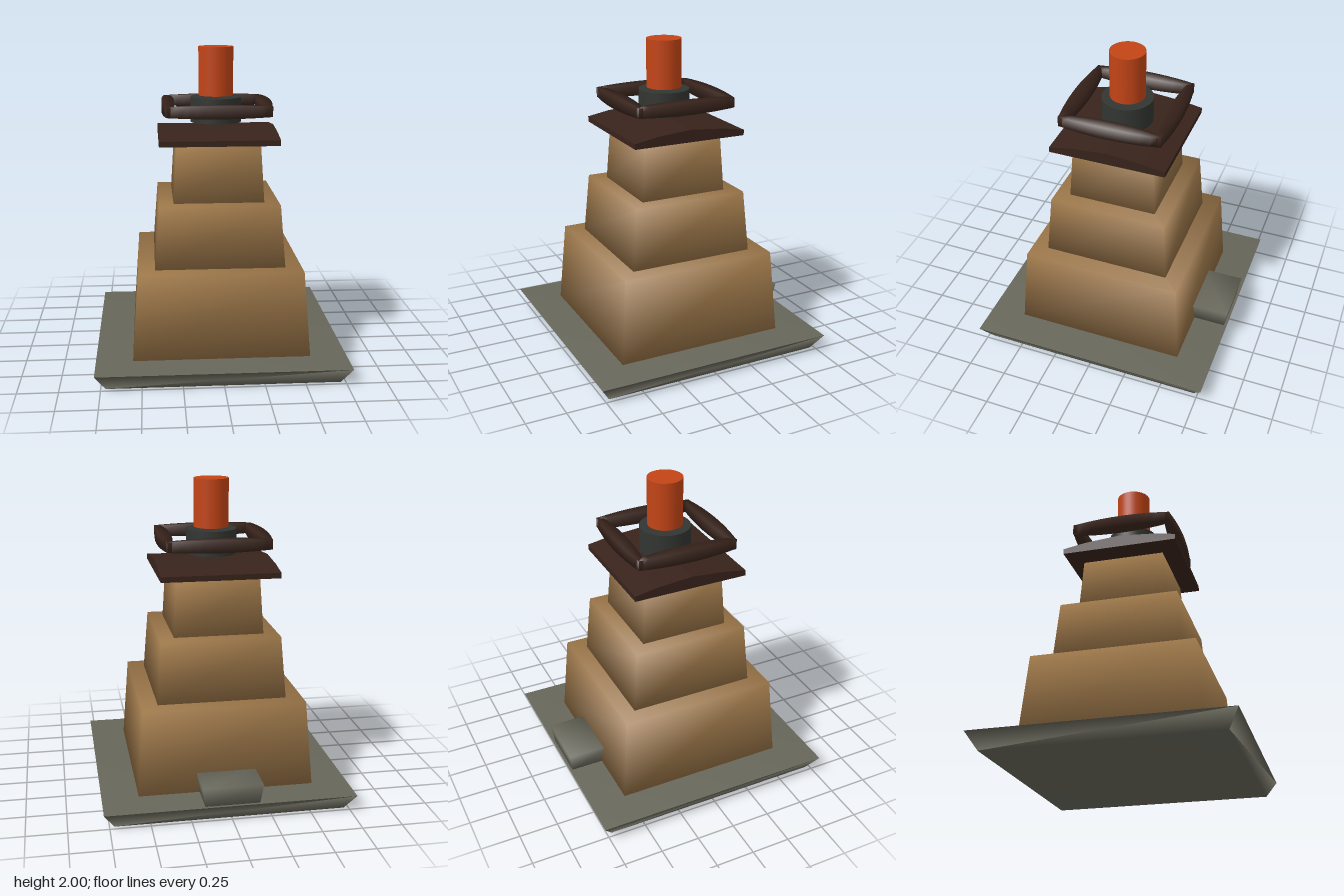
import * as THREE from 'three';
import { mergeVertices } from 'three/addons/utils/BufferGeometryUtils.js';

const paint = (color) => new THREE.MeshStandardMaterial({ color });

// Weld shared corners so the shading flows softly over the edges
function soften(geometry) {
  geometry.deleteAttribute('normal');
  geometry.deleteAttribute('uv');
  const welded = mergeVertices(geometry);
  welded.computeVertexNormals();
  return welded;
}

// Apply a rule to each vertex of a geometry
function reshape(geometry, rule) {
  const pos = geometry.attributes.position;
  const v = new THREE.Vector3();
  for (let i = 0; i < pos.count; i++) {
    v.fromBufferAttribute(pos, i);
    rule(v);
    pos.setXYZ(i, v.x, v.y, v.z);
  }
  return geometry;
}

// Four-sided block whose half sizes change from bottom to top
function taperedBlock(y0, y1, bottomX, topX, bottomZ = bottomX, topZ = topX) {
  return soften(reshape(new THREE.BoxGeometry(2, 2, 2), (v) => {
    const top = v.y > 0;
    v.set(v.x * (top ? topX : bottomX), top ? y1 : y0, v.z * (top ? topZ : bottomZ));
  }));
}

export function createModel() {
  const group = new THREE.Group();
  const stone = paint(0x66665a);
  const wood = paint(0x9a7548);
  const darkWood = paint(0x38231b);
  const iron = paint(0x323532);
  const orange = paint(0xc24416);

  function add(name, geometry, material, parent = group) {
    const mesh = new THREE.Mesh(geometry, material);
    mesh.name = name;
    parent.add(mesh);
    return mesh;
  }

  // Foundation slab, wider at the top
  add('foundation', taperedBlock(0, 0.105, 0.72, 0.785), stone);

  // Doorstep at the back
  add('doorstep', taperedBlock(0.1, 0.23, 0.17, 0.188, 0.125, 0.145), stone).position.z = -0.64;

  // Three stacked tower tiers
  const tiers = [
    ['lowerTier', 0.105, 0.645, 0.555, 0.515],
    ['middleTier', 0.645, 1.04, 0.41, 0.38],
    ['upperTier', 1.04, 1.39, 0.287, 0.266],
  ];
  for (const [name, ...size] of tiers) add(name, taperedBlock(...size), wood);

  // Roof slab: flat below, gently arched from front to back
  const roof = new THREE.Shape();
  roof.moveTo(-0.375, 1.415);
  roof.lineTo(0.375, 1.415);
  roof.lineTo(0.375, 1.45);
  roof.lineTo(0.23, 1.475);
  roof.lineTo(0, 1.495);
  roof.lineTo(-0.23, 1.475);
  roof.lineTo(-0.375, 1.45);
  roof.closePath();
  const roofGeometry = new THREE.ExtrudeGeometry(roof, { depth: 0.75, bevelEnabled: false });
  roofGeometry.translate(0, 0, -0.375).rotateY(Math.PI / 2);
  add('roof', roofGeometry, darkWood);

  // Railing: four bars, thick in the middle and thin at the ends
  const railing = new THREE.Group();
  railing.name = 'railing';
  group.add(railing);
  const barGeometry = soften(reshape(new THREE.BoxGeometry(0.66, 0.08, 0.08, 10, 1, 1), (v) => {
    const t = (v.x / 0.33) ** 2;
    v.y *= 1 - 0.2 * t;
    v.z *= 1 - 0.6 * t;
  }));
  barGeometry.translate(0, 1.62, 0.31);
  for (let i = 0; i < 4; i++) {
    add('railingBar', barGeometry, darkWood, railing).rotation.y = (i * Math.PI) / 2;
  }

  // Chimney collar and chimney
  add('chimneyCollar', new THREE.CylinderGeometry(0.163, 0.163, 0.16, 32), iron).position.y = 1.6;
  add('chimney', new THREE.CylinderGeometry(0.112, 0.112, 0.31, 32), orange).position.y = 1.845;

  return group;
}
